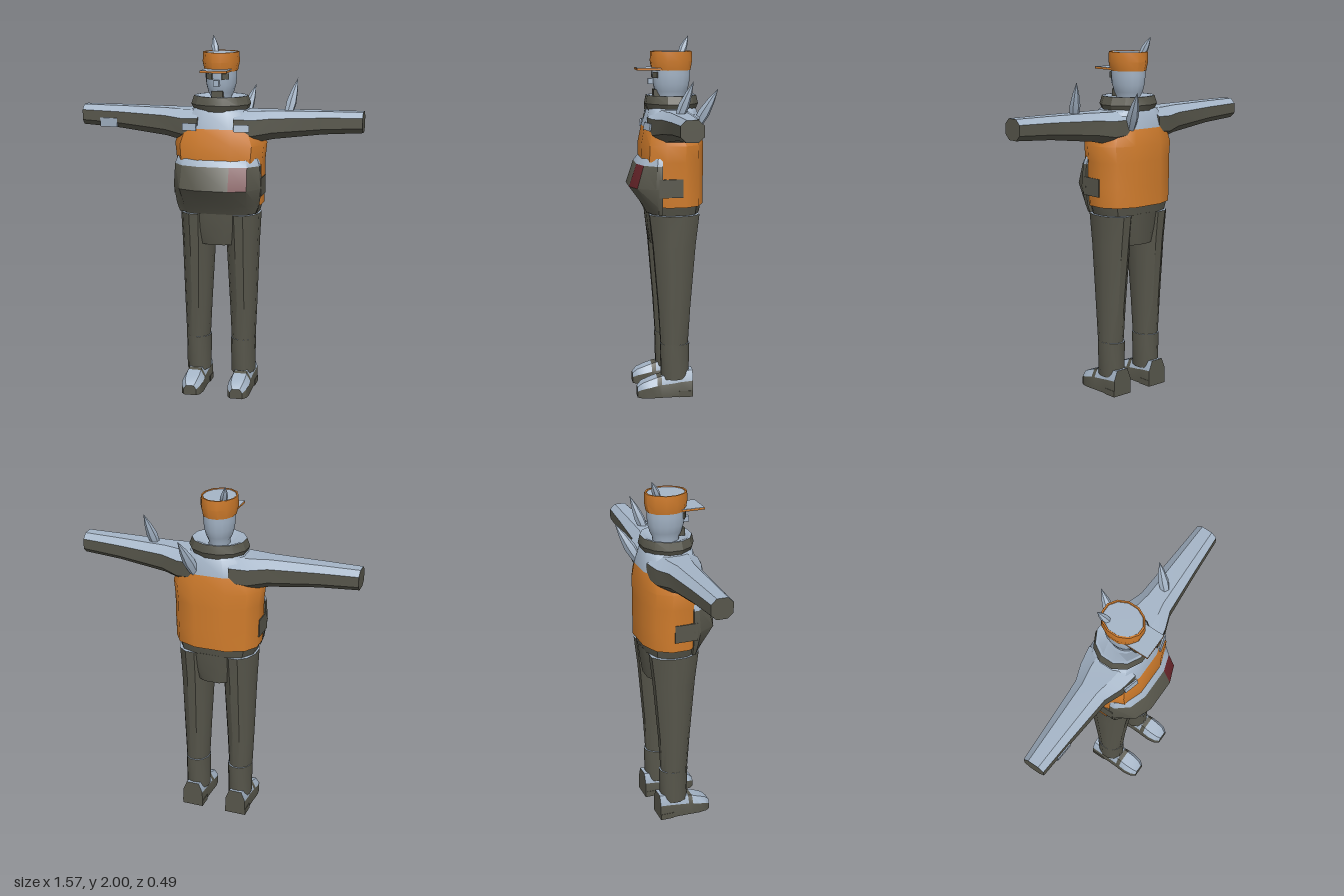
import * as THREE from 'three';
import { toCreasedNormals } from 'three/addons/utils/BufferGeometryUtils.js';

const mat = (name, color) => {
  const m = new THREE.MeshStandardMaterial({ color });
  m.name = name;
  return m;
};

// Skins a closed stack of rings; pick(i, j) names the colour of each face,
// with i = 'start' or 'end' for the caps. Winding is fixed by signed volume.
function loftGeometry(rings, pick, keys, crease) {
  const tris = {};
  let volume = 0;
  const add = (key, a, b, c) => {
    (tris[key] ||= []).push([a, b, c]);
    volume += a.dot(b.clone().cross(c));
  };
  const R = rings.map(r => r.map(p => new THREE.Vector3(...p)));
  const n = R[0].length;
  for (let i = 0; i < R.length - 1; i++) {
    for (let j = 0; j < n; j++) {
      const k = (j + 1) % n, key = pick(i, j);
      add(key, R[i][j], R[i][k], R[i + 1][k]);
      add(key, R[i][j], R[i + 1][k], R[i + 1][j]);
    }
  }
  for (const [end, ring] of [['start', R[0]], ['end', R[R.length - 1]]]) {
    const mid = ring.reduce((s, p) => s.add(p), new THREE.Vector3()).divideScalar(n);
    for (let j = 0; j < n; j++) {
      const p = ring[j], q = ring[(j + 1) % n];
      if (end === 'start') add(pick(end, j), mid, q, p);
      else add(pick(end, j), mid, p, q);
    }
  }
  const geo = new THREE.BufferGeometry(), pos = [];
  for (const key in tris) {
    geo.addGroup(pos.length / 3, tris[key].length * 3, keys.indexOf(key));
    for (const [a, b, c] of tris[key]) {
      for (const v of volume > 0 ? [a, b, c] : [a, c, b]) pos.push(v.x, v.y, v.z);
    }
  }
  geo.setAttribute('position', new THREE.Float32BufferAttribute(pos, 3));
  return toCreasedNormals(geo, crease);
}

export function createModel() {
  const M = {
    olive: mat('olive cloth', 0x57564b),
    frost: mat('pale frost', 0xa4b4c6),
    orange: mat('orange cloth', 0xd07c2c),
    red: mat('dark red patch', 0x662429),
  };
  const keys = Object.keys(M), mats = Object.values(M);
  const model = new THREE.Group();
  model.name = 'figure';

  const loft = (name, rings, pick, crease = 0.6) => {
    const fn = typeof pick === 'function' ? pick : () => pick;
    const mesh = new THREE.Mesh(loftGeometry(rings, fn, keys, crease), mats);
    mesh.name = name;
    model.add(mesh);
    return mesh;
  };
  const box = (name, key, size, pos, rot = [0, 0, 0]) => {
    const mesh = new THREE.Mesh(new THREE.BoxGeometry(...size), M[key]);
    mesh.name = name;
    mesh.position.set(...pos);
    mesh.rotation.set(...rot);
    model.add(mesh);
  };
  // Horizontal ellipse ring
  const oval = (y, rx, rz, cx = 0, cz = 0, n = 12) => Array.from({ length: n }, (_, k) => {
    const a = (k + 0.5) / n * Math.PI * 2;
    return [cx + rx * Math.cos(a), y, cz + rz * Math.sin(a)];
  });
  // Twelve-sided trunk section with separate front and back depth
  const trunk = ([y, w, f, b]) => [
    [w, y, 0.3 * f], [0.8 * w, y, 0.8 * f], [0.37 * w, y, f],
    [-0.37 * w, y, f], [-0.8 * w, y, 0.8 * f], [-w, y, 0.3 * f],
    [-w, y, -0.3 * b], [-0.8 * w, y, -0.76 * b], [-0.37 * w, y, -b],
    [0.37 * w, y, -b], [0.8 * w, y, -0.76 * b], [w, y, -0.3 * b],
  ];

  // Jacket with frosted shoulders
  loft('jacket', [
    [1.083, 0.236, 0.16, 0.165], [1.2, 0.24, 0.17, 0.166], [1.33, 0.241, 0.178, 0.166],
    [1.42, 0.25, 0.175, 0.166], [1.51, 0.215, 0.158, 0.155], [1.6, 0.16, 0.13, 0.135],
    [1.625, 0.13, 0.11, 0.11],
  ].map(trunk), i => (i === 'end' || i >= 4 ? 'frost' : 'orange'), 0.7);
  loft('hem', [[1.035, 0.214, 0.145, 0.145], [1.095, 0.23, 0.155, 0.155]].map(trunk), 'olive');

  // Belly bulge with frosted upper ledge and red patch on one face
  const belly = ([y, w, f]) => [
    [w, y, 0.075], [0.99 * w, y, 0.08 + 0.2 * (f - 0.08)], [0.76 * w, y, 0.85 * f], [0.37 * w, y, f],
    [-0.37 * w, y, f], [-0.76 * w, y, 0.85 * f], [-0.99 * w, y, 0.08 + 0.2 * (f - 0.08)], [-w, y, 0.075],
  ];
  loft('belly', [
    [1.04, 0.217, 0.148], [1.085, 0.232, 0.172], [1.185, 0.246, 0.245],
    [1.31, 0.24, 0.203], [1.35, 0.225, 0.172],
  ].map(belly), (i, j) => {
    if (i === 3 || i === 'end') return 'frost';
    return i === 2 && j === 2 ? 'red' : 'olive';
  }, 0.5);

  // Hips, tapering between the legs
  loft('hips', [
    [0.86, 0.115, 0.122, 0.125], [0.95, 0.145, 0.137, 0.137], [1.04, 0.165, 0.147, 0.147],
  ].map(trunk), 'olive');

  // Collar with frost inside
  loft('collar', [
    oval(1.59, 0.145, 0.13), oval(1.635, 0.166, 0.15), oval(1.68, 0.15, 0.14),
    oval(1.68, 0.136, 0.127), oval(1.65, 0.075, 0.08),
  ], i => (i === 'end' || i >= 2 ? 'frost' : 'olive'), 0.5);

  // Head
  loft('head', [
    [1.6, 0.06, 0.07], [1.67, 0.056, 0.075], [1.7, 0.07, 0.09], [1.74, 0.081, 0.101],
    [1.79, 0.086, 0.106], [1.84, 0.086, 0.106],
  ].map(([y, a, b]) => oval(y, a, b, 0, 0, 16)), 'frost', 0.9);
  box('nose', 'frost', [0.03, 0.032, 0.04], [0, 1.755, 0.109]);
  box('beard', 'olive', [0.06, 0.042, 0.04], [0, 1.69, 0.08]);
  for (const s of [1, -1]) {
    box('eye', 'olive', [0.04, 0.032, 0.009], [s * 0.043, 1.79, 0.092], [0, s * 0.55, 0]);
  }

  // Cap with brim
  loft('cap', [
    oval(1.815, 0.09, 0.109), oval(1.865, 0.101, 0.118), oval(1.918, 0.098, 0.116),
    oval(1.918, 0.09, 0.107), oval(1.914, 0.088, 0.105),
  ], i => (i === 'end' ? 'frost' : 'orange'));
  box('brim', 'orange', [0.148, 0.01, 0.14], [0, 1.822, 0.125]);
  box('brimFrost', 'frost', [0.146, 0.003, 0.138], [0, 1.828, 0.125]);

  // Tapered ice spike from a base point to a tip
  const spike = (name, base, tip, r) => {
    const a = new THREE.Vector3(...base), d = new THREE.Vector3(...tip).sub(a), h = d.length();
    const pts = [[0, -0.02], [r * 0.8, -0.02], [r, h * 0.3], [r * 0.62, h * 0.65], [0, h]];
    const geo = new THREE.LatheGeometry(pts.map(p => new THREE.Vector2(...p)), 6);
    const mesh = new THREE.Mesh(toCreasedNormals(geo, 0.5), M.frost);
    mesh.name = name;
    mesh.position.copy(a);
    mesh.quaternion.setFromUnitVectors(new THREE.Vector3(0, 1, 0), d.normalize());
    model.add(mesh);
  };
  spike('capSpike', [-0.046, 1.91, -0.065], [-0.07, 2.0, -0.105], 0.021);
  spike('backSpike', [0.1, 1.53, -0.135], [0.147, 1.72, -0.24], 0.033);
  spike('armSpike', [0.378, 1.595, 0.005], [0.416, 1.778, -0.063], 0.029);

  for (const s of [1, -1]) {
    const side = s > 0 ? 'left' : 'right';

    // Arm: frost lies on the three upper faces
    const armRing = ([x, cy, ry, rz]) => [
      [1, 0.5], [0.5, 1], [-0.5, 1], [-1, 0.5], [-1, -0.5], [-0.5, -1], [0.5, -1], [1, -0.5],
    ].map(([z, y]) => [s * x, cy + y * ry, z * rz]);
    loft(side + 'Arm', [
      [0.1, 1.525, 0.08, 0.145], [0.2, 1.518, 0.086, 0.127], [0.3, 1.53, 0.077, 0.091],
      [0.57, 1.548, 0.062, 0.073], [0.787, 1.555, 0.056, 0.06],
    ].map(armRing), (i, j) => (typeof i === 'number' && j < 3 ? 'frost' : 'olive'), 0.4);

    // Frost drip below the shoulder and dark side patch
    box(side + 'ShoulderDrip', 'frost', [0.085, 0.04, 0.009], [s * 0.145, 1.518, 0.148], [-0.15, s * 0.28, 0]);
    box(side + 'SidePatch', 'olive', [0.009, 0.1, 0.13], [s * 0.241, 1.19, 0.03]);

    // Leg and lower cuff
    loft(side + 'Leg', [
      [1.033, 0.127, 0.1, 0.143], [0.86, 0.127, 0.092, 0.122], [0.51, 0.131, 0.077, 0.092],
      [0.28, 0.132, 0.067, 0.077],
    ].map(([y, cx, rx, rz]) => oval(y, rx, rz, s * cx)), i => (i === 'start' ? 'frost' : 'olive'));
    loft(side + 'Cuff', [
      oval(0.1, 0.068, 0.079, s * 0.13, -0.003), oval(0.302, 0.071, 0.084, s * 0.13, -0.003),
    ], i => (i === 'end' ? 'frost' : 'olive'));

    // Boot: stations from heel to toe, frost on top except for a strap
    const bootRing = ([z, w, h]) => [
      [w, 0], [w, 0.62 * h], [0.62 * w, h], [-0.62 * w, h], [-w, 0.62 * h], [-w, 0],
    ].map(([x, y]) => [s * 0.133 + x, y, z]);
    loft(side + 'Boot', [
      [-0.1, 0.06, 0.15], [-0.03, 0.06, 0.14], [0.0, 0.056, 0.13], [0.075, 0.058, 0.118],
      [0.1, 0.06, 0.112], [0.14, 0.061, 0.098], [0.185, 0.054, 0.08], [0.21, 0.036, 0.055],
    ].map(bootRing), (i, j) => (typeof i === 'number' && i !== 3 && j > 0 && j < 4 ? 'frost' : 'olive'), 0.5);
    box(side + 'Heel', 'olive', [0.124, 0.035, 0.08], [s * 0.133, 0.0175, -0.06]);
  }

  // Frost patch on the right forearm
  box('forearmFrost', 'frost', [0.1, 0.05, 0.009], [-0.63, 1.518, 0.068], [0.12, -0.06, 0]);

  return model;
}
